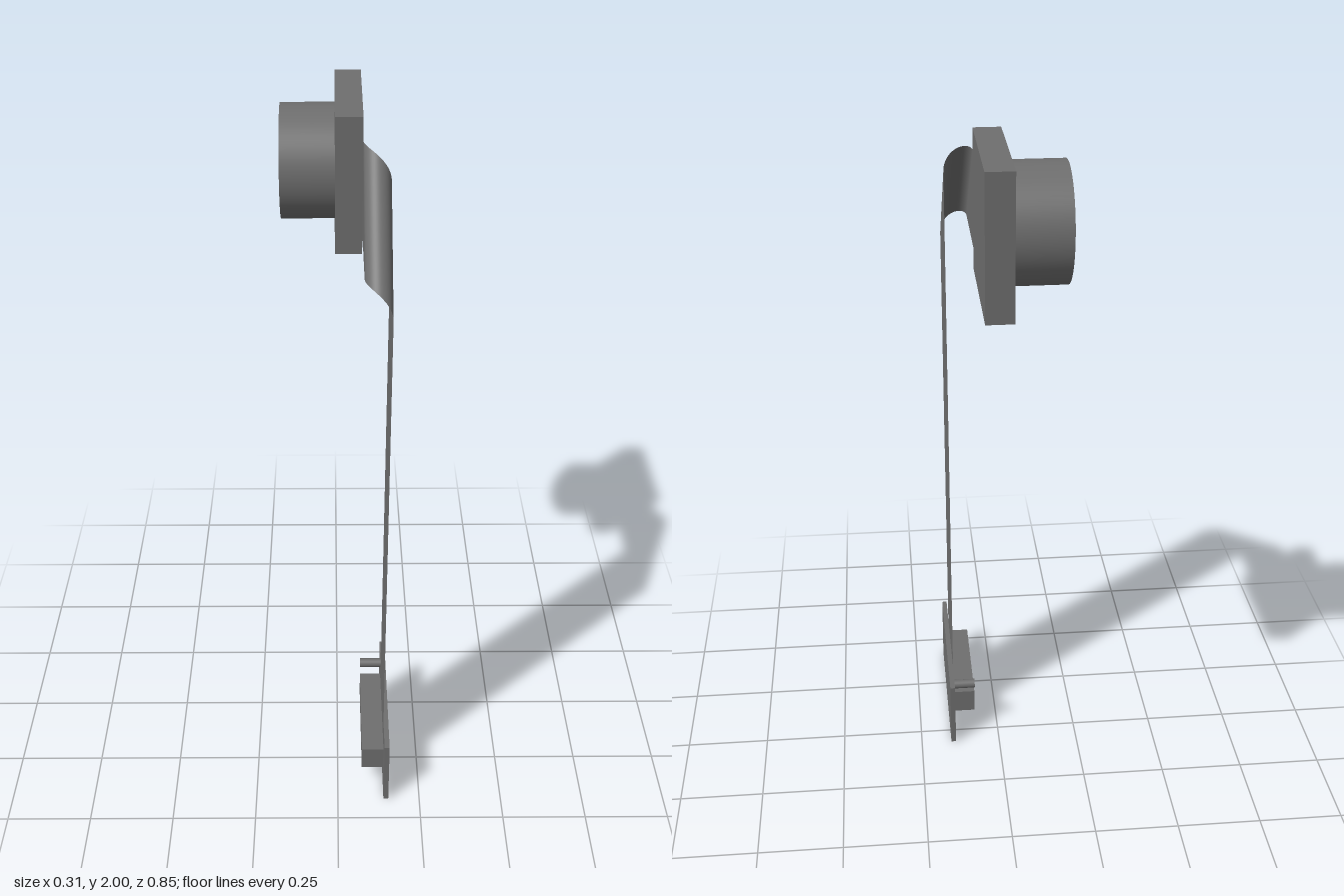
import * as THREE from 'three';

export function createModel() {
  const group = new THREE.Group();
  const solid = new THREE.MeshStandardMaterial({ color: 0x6e6e6e });
  const sheet = new THREE.MeshStandardMaterial({ color: 0x6e6e6e, side: THREE.DoubleSide });

  function add(name, geometry, material = solid) {
    const mesh = new THREE.Mesh(geometry, material);
    mesh.name = name;
    group.add(mesh);
  }
  // Box given by its lower and upper corners
  function box(name, [x0, y0, z0], [x1, y1, z1]) {
    const g = new THREE.BoxGeometry(x1 - x0, y1 - y0, z1 - z0);
    add(name, g.translate((x0 + x1) / 2, (y0 + y1) / 2, (z0 + z1) / 2));
  }
  // Cylinder lying along x
  function rod(name, r, x0, x1, y, z, sides) {
    const g = new THREE.CylinderGeometry(r, r, x1 - x0, sides).rotateZ(Math.PI / 2);
    add(name, g.translate((x0 + x1) / 2, y, z));
  }

  // Camera head
  box('sensorHousing', [-0.006, 1.616, -0.424], [0.068, 2, -0.039]);
  rod('lensBarrel', 0.157, -0.155, -0.006, 1.808, -0.231, 64);

  // Flat ribbon: runs forward from the housing, rolls over a diagonal fold, then drops
  const xIn = 0.068, xOut = 0.14, width = 0.265;
  const r = (xOut - xIn) / 2, foldSteps = 24;
  const yLow = 1.675, zLow = 0.236; // lower edge of the ribbon where the fold starts

  // Edge point on the fold: a helix around the diagonal axis
  function foldPoint(angle, across) {
    const out = r * Math.sin(angle) / Math.SQRT2, along = r * angle / Math.SQRT2;
    return [
      xIn + r * (1 - Math.cos(angle)),
      yLow + across * width + out - along,
      zLow - across * width + out + along,
    ];
  }
  // Strip between pairs of edge points
  function strip(name, pairs) {
    const index = [];
    for (let i = 0; i < pairs.length - 1; i++) {
      const a = i * 2;
      index.push(a, a + 2, a + 1, a + 1, a + 2, a + 3);
    }
    const g = new THREE.BufferGeometry();
    g.setAttribute('position', new THREE.Float32BufferAttribute(pairs.flat(2), 3));
    g.setIndex(index);
    g.computeVertexNormals();
    add(name, g, sheet);
  }
  const fold = [];
  for (let i = 0; i <= foldSteps; i++) {
    const angle = Math.PI * i / foldSteps;
    fold.push([foldPoint(angle, 0), foldPoint(angle, 1)]);
  }
  const [endLow, endHigh] = fold[foldSteps];
  strip('ribbonTop', [[[xIn, yLow, -0.039], [xIn, yLow + width, -0.039]], fold[0]]);
  strip('ribbonFold', fold);
  strip('ribbonDrop', [[endLow, endHigh], [[xOut, 0.216, endLow[2]], [xOut, 0.216, endHigh[2]]]]);

  // Connector board with its socket and a small locating pin
  box('connectorBoard', [0.14, 0, -0.057], [0.155, 0.216, 0.424]);
  box('connectorSocket', [0.074, 0.066, 0.016], [0.14, 0.142, 0.356]);
  rod('locatingPin', 0.014, 0.074, 0.14, 0.182, 0.007, 24);

  return group;
}
